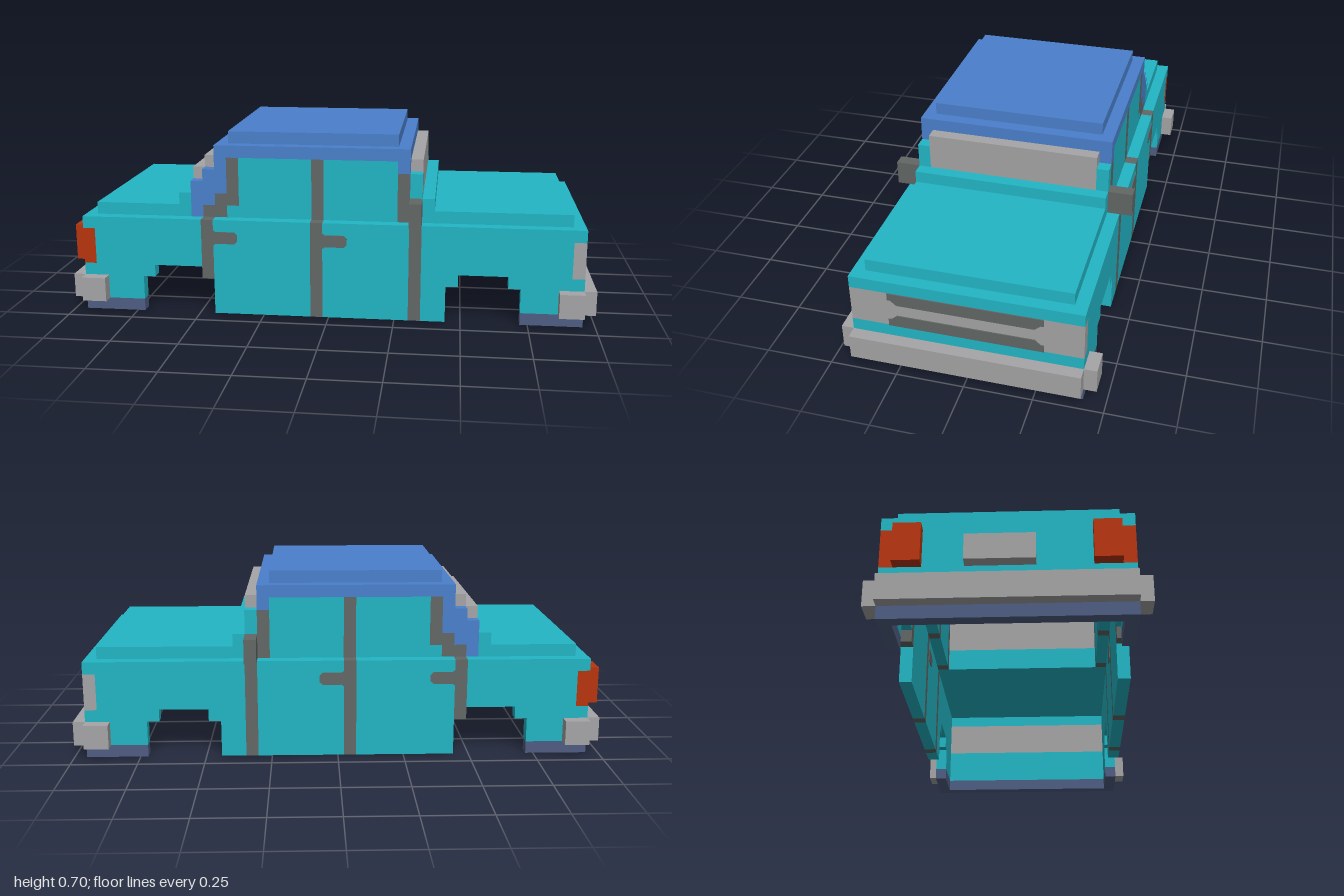
import * as THREE from 'three';

const U = 2 / 43; // one block

const paint = (name, color) => {
  const m = new THREE.MeshStandardMaterial({ color });
  m.name = name;
  return m;
};

export function createModel() {
  const teal = paint('teal bodywork', 0x22b6c5);
  const blue = paint('blue roof', 0x4a80cc);
  const grey = paint('light grey trim', 0xa5a4a6);
  const dark = paint('dark grey trim', 0x626866);
  const red = paint('red lamp', 0xb8350f);
  const navy = paint('navy skirt', 0x4f5d82);
  const green = paint('green lining', 0x12c412);

  const car = new THREE.Group();
  car.name = 'car';

  // Box in block units: i from the rear, j from the ground, k across
  const box = (name, mat, i0, i1, j0, j1, k0, k1) => {
    const g = new THREE.BoxGeometry((i1 - i0) * U, (j1 - j0) * U, (k1 - k0) * U);
    const mesh = new THREE.Mesh(g, mat);
    mesh.name = name;
    mesh.position.set(-1 + (i0 + i1) / 2 * U, (j0 + j1) / 2 * U, (k0 + k1) / 2 * U);
    car.add(mesh);
  };
  const across = (name, mat, i0, i1, j0, j1, k) => box(name, mat, i0, i1, j0, j1, -k, k);
  const pair = (name, mat, i0, i1, j0, j1, k0, k1) => {
    box(name, mat, i0, i1, j0, j1, k0, k1);
    box(name, mat, i0, i1, j0, j1, -k1, -k0);
  };

  // Lower side walls with wheel arches: [i0, i1, underside]
  [[2, 6, 1], [6, 7, 3], [7, 11, 4], [12, 20, 0], [21, 28, 0], [29, 31, 0],
    [31, 32, 3], [32, 36, 4], [36, 37, 3], [37, 41, 1]]
    .forEach(([a, b, j]) => pair('sidePanel', teal, a, b, j, 8, 8, 9));
  [[11, 3], [20, 0], [28, 0]].forEach(([i, j]) => pair('doorSeam', dark, i, i + 1, j, 8, 8, 9));
  [[2, 6], [37, 41]].forEach(([a, b]) => pair('sideSkirt', navy, a, b, 0, 1, 8, 9));

  // Front and rear walls
  [[1, 'rear'], [41, 'front']].forEach(([i, end]) => {
    across(end + 'Skirt', navy, i, i + 1, 0, 1, 9);
    across(end + 'LowerPanel', teal, i, i + 1, 1, 4, 9);
    across(end + 'UpperPanel', teal, i, i + 1, 7, 8, 9);
  });
  across('rearPanel', teal, 1, 2, 4, 7, 8);
  across('grille', grey, 41, 42, 4, 7, 9);

  // Bumpers with wrapped corners
  across('rearBumper', grey, 0, 1, 1, 3, 9);
  across('frontBumper', grey, 42, 43, 1, 3, 9);
  pair('rearBumperCorner', grey, 1, 3, 1, 3, 9, 10);
  pair('frontBumperCorner', grey, 40, 42, 1, 3, 9, 10);

  // Rear lamps and plate
  pair('rearLamp', red, 0, 1, 4, 7, 6, 8);
  pair('rearLampCorner', red, 1, 2, 4, 7, 8, 9);
  box('rearPlate', grey, 0, 1, 4, 6, -3, 2);

  // Bonnet, boot and the ledges beneath the windows
  across('bonnet', teal, 29, 41, 8, 9, 8);
  across('bonnetInner', teal, 28, 29, 8, 10, 7);
  across('frontLedge', teal, 29, 30, 9, 10, 8);
  across('boot', teal, 2, 10, 8, 9, 8);
  across('bootInner', teal, 10, 11, 8, 10, 7);
  across('rearLedge', teal, 9, 10, 9, 10, 8);

  // Cabin sides
  const cabin = (name, mat, rows) =>
    rows.forEach(([a, b, j0, j1]) => pair(name, mat, a, b, j0, j1, 7, 8));
  cabin('rearPillar', blue, [[10, 11, 8, 11], [11, 12, 9, 12], [12, 13, 10, 13]]);
  cabin('windowSeam', dark,
    [[11, 12, 8, 9], [12, 13, 8, 10], [13, 14, 9, 13], [20, 21, 8, 13], [27, 28, 8, 12]]);
  cabin('cabinSide', teal, [[13, 14, 8, 9], [14, 20, 8, 13], [21, 27, 8, 13], [28, 29, 8, 12]]);
  cabin('frontPillar', blue, [[27, 28, 12, 13]]);

  // Windscreen, stepped rear window and roof
  across('windscreen', grey, 28, 29, 10, 13, 7);
  across('rearWindowLower', grey, 10, 11, 10, 12, 7);
  across('rearWindowUpper', grey, 11, 12, 12, 13, 7);
  across('roofLower', blue, 12, 28, 13, 14, 8);
  across('roofUpper', blue, 13, 27, 14, 15, 7);

  // Cabin lining
  across('roofLining', green, 12, 28, 12.9, 13, 7);
  across('rearLining', green, 11.9, 12, 10, 13, 7);

  // Wing mirrors
  pair('wingMirror', dark, 28, 29, 8, 10, 8, 10);

  // Door handles with chamfered tips, showing on both faces of the wall
  const plate = (points, depth) => new THREE.ExtrudeGeometry(
    new THREE.Shape(points.map(([x, y]) => new THREE.Vector2(x * U, y * U))),
    { depth, bevelEnabled: false });
  const handle = plate([[0, 5.85], [0.2, 6], [1.75, 6], [2, 6.25], [2, 6.75], [1.75, 7],
    [0.2, 7], [0, 7.15]], U + 0.006);
  [12, 21].forEach(i => [-9, 8].forEach(k => {
    const mesh = new THREE.Mesh(handle, dark);
    mesh.name = 'doorHandle';
    mesh.position.set(-1 + i * U, 0, k * U - 0.003);
    car.add(mesh);
  }));

  // Grille slots with stepped inner corners
  [[7, 6], [4, 5]].forEach(([outer, inner]) => {
    const mid = inner + (outer - inner) * 0.4;
    const geo = plate([[-6, outer], [6, outer], [6, mid], [5.75, mid], [5.3, inner],
      [-5.3, inner], [-5.75, mid], [-6, mid]], 0.004);
    const mesh = new THREE.Mesh(geo, dark);
    mesh.name = 'grilleSlot';
    mesh.rotation.y = Math.PI / 2;
    mesh.position.x = -1 + 42 * U;
    car.add(mesh);
  });

  return car;
}
